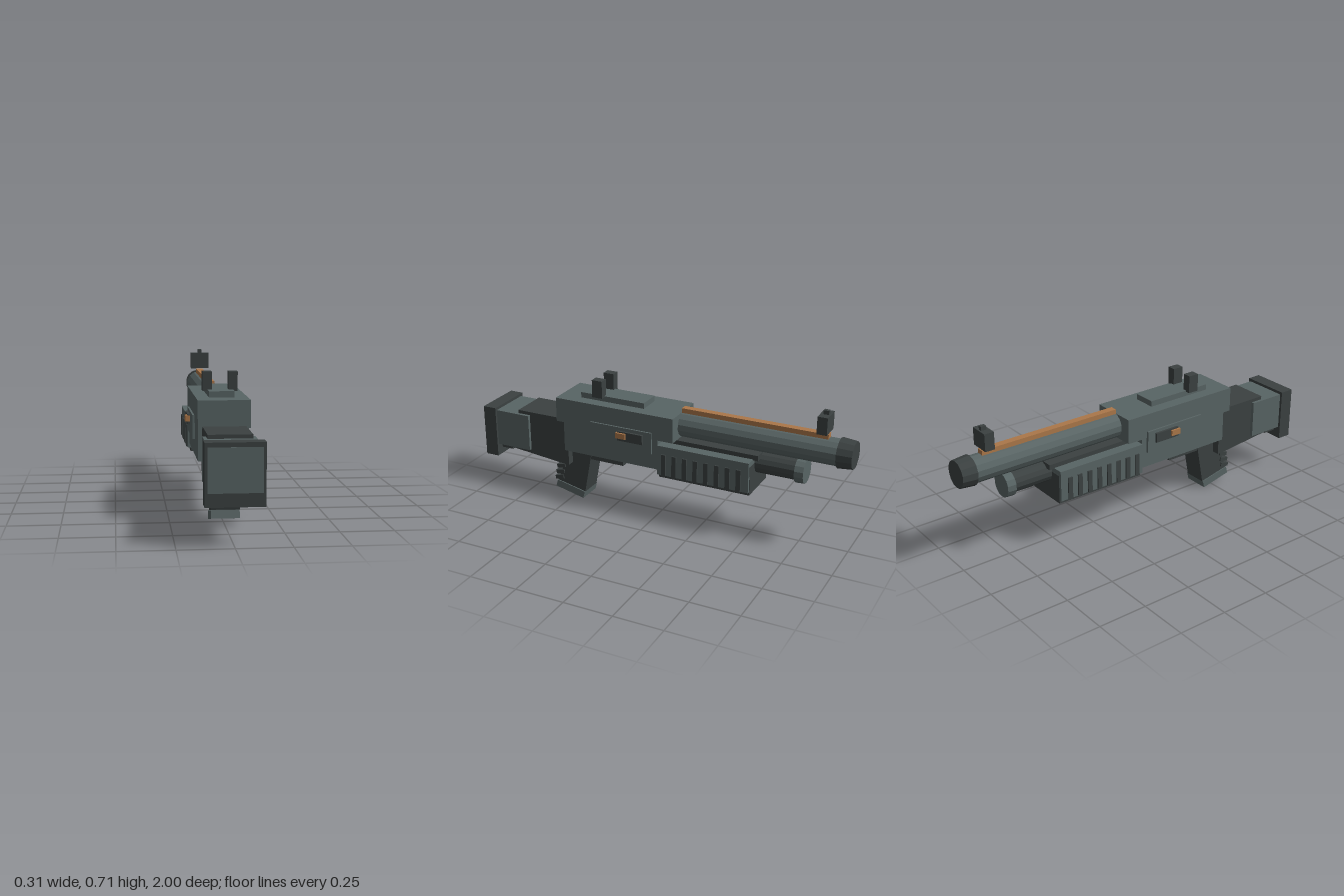
import * as THREE from 'three';

export function createModel() {
  const model = new THREE.Group();
  const mat = (name, color) => {
    const m = new THREE.MeshStandardMaterial({ color });
    m.name = name;
    return m;
  };
  const steel = mat('grey steel', 0x586464);
  const dark = mat('dark grip', 0x3b4141);
  const copper = mat('copper', 0xab7749);

  const add = (name, geometry, material) => {
    const mesh = new THREE.Mesh(geometry, material);
    mesh.name = name;
    model.add(mesh);
    return mesh;
  };
  // Box given by its limits on each axis
  const box = (name, material, x0, x1, y0, y1, z0, z1) => {
    const mesh = add(name, new THREE.BoxGeometry(x1 - x0, y1 - y0, z1 - z0), material);
    mesh.position.set((x0 + x1) / 2, (y0 + y1) / 2, (z0 + z1) / 2);
    return mesh;
  };
  const centred = (name, material, half, y0, y1, z0, z1) =>
    box(name, material, -half, half, y0, y1, z0, z1);
  const pair = (name, material, xIn, xOut, y0, y1, z0, z1) => {
    box(name + 'Left', material, xIn, xOut, y0, y1, z0, z1);
    box(name + 'Right', material, -xOut, -xIn, y0, y1, z0, z1);
  };
  // Side profile of [z, y] points, extruded across x
  const profile = (name, material, half, points) => {
    const shape = new THREE.Shape(points.map(([z, y]) => new THREE.Vector2(z, y)));
    const g = new THREE.ExtrudeGeometry(shape, { depth: half * 2, bevelEnabled: false });
    g.translate(0, 0, -half).rotateY(-Math.PI / 2);
    return add(name, g, material);
  };
  // Faceted cylinder along z: radius r0 at z0 (muzzle side), r1 at z1
  const tube = (name, material, r0, r1, y, z0, z1) => {
    const g = new THREE.CylinderGeometry(r1, r0, z1 - z0, 14).toNonIndexed();
    g.computeVertexNormals();
    g.rotateX(Math.PI / 2).translate(0, y, (z0 + z1) / 2);
    return add(name, g, material);
  };

  // Stock
  centred('buttPlate', dark, 0.13, 0.18, 0.455, 0.927, 1);
  centred('buttPanel', steel, 0.118, 0.24, 0.435, 0.99, 1.002);
  centred('stock', steel, 0.117, 0.245, 0.44, 0.73, 0.93);
  centred('stockHeel', dark, 0.085, 0.215, 0.25, 0.86, 0.93);
  profile('stockCore', dark, 0.1, [
    [0.8, 0.458], [0.5, 0.458], [0.5, 0.2], [0.52, 0.2], [0.86, 0.235], [0.86, 0.3], [0.8, 0.3],
  ]);

  // Receiver
  centred('upperReceiver', steel, 0.122, 0.45, 0.578, -0.115, 0.55);
  centred('lowerReceiver', steel, 0.118, 0.29, 0.45, -0.03, 0.51);
  pair('sidePlate', steel, 0.11, 0.131, 0.37, 0.485, 0, 0.345);
  pair('boltSlot', dark, 0.12, 0.143, 0.418, 0.468, 0.045, 0.185);
  pair('boltHandle', copper, 0.13, 0.154, 0.433, 0.462, 0.135, 0.19);

  // Barrel, rib and magazine tube
  tube('barrel', steel, 0.066, 0.066, 0.514, -0.95, -0.1);
  tube('muzzle', dark, 0.068, 0.075, 0.514, -1, -0.925);
  centred('barrelRib', copper, 0.018, 0.57, 0.6, -0.87, -0.115);
  tube('magazineTube', dark, 0.054, 0.054, 0.388, -0.74, -0.02);
  tube('magazineCap', steel, 0.062, 0.064, 0.386, -0.77, -0.725);

  // Sights
  centred('rearSightBase', steel, 0.06, 0.57, 0.607, 0.075, 0.435);
  pair('rearSightPost', dark, 0.04, 0.083, 0.6, 0.692, 0.3, 0.357);
  centred('frontSight', dark, 0.051, 0.607, 0.695, -0.87, -0.82);
  centred('frontSightBead', dark, 0.01, 0.69, 0.715, -0.862, -0.835);

  // Forend with grip slots on both sides
  centred('forendCore', dark, 0.112, 0.25, 0.4, -0.522, -0.035);
  centred('forendTop', steel, 0.126, 0.37, 0.425, -0.52, -0.03);
  centred('forendBridge', dark, 0.07, 0.42, 0.447, -0.545, -0.065);
  pair('forendSide', steel, 0.1, 0.126, 0.268, 0.425, -0.52, -0.03);
  for (let i = 0; i < 8; i++) {
    const z = -0.068 - i * 0.0573;
    pair('forendSlot' + i, dark, 0.12, 0.133, 0.27, 0.383, z - 0.012, z + 0.012);
  }

  // Pistol grip, leaning back
  profile('grip', dark, 0.06, [[0.54, 0.3], [0.38, 0.3], [0.43, 0.04], [0.595, 0.078], [0.54, 0.21]]);
  profile('gripCap', steel, 0.066, [[0.595, 0.079], [0.43, 0.042], [0.44, 0.003], [0.606, 0.042]]);
  for (let i = 0; i < 4; i++) {
    const ridge = centred('gripRidge' + i, dark, 0.066, -0.01, 0.01, -0.025, 0.025);
    ridge.position.set(0, 0.2 - i * 0.034, 0.565 + i * 0.006);
    ridge.rotation.x = 0.2;
  }

  // Trigger guard and trigger
  centred('triggerGuard', dark, 0.055, 0.236, 0.27, 0.2, 0.47);
  centred('guardMount', dark, 0.05, 0.26, 0.3, 0.38, 0.5);
  profile('guardPost', steel, 0.04, [[0.26, 0.26], [0.25, 0.3], [0.21, 0.3], [0.215, 0.26]]);

  return model;
}
